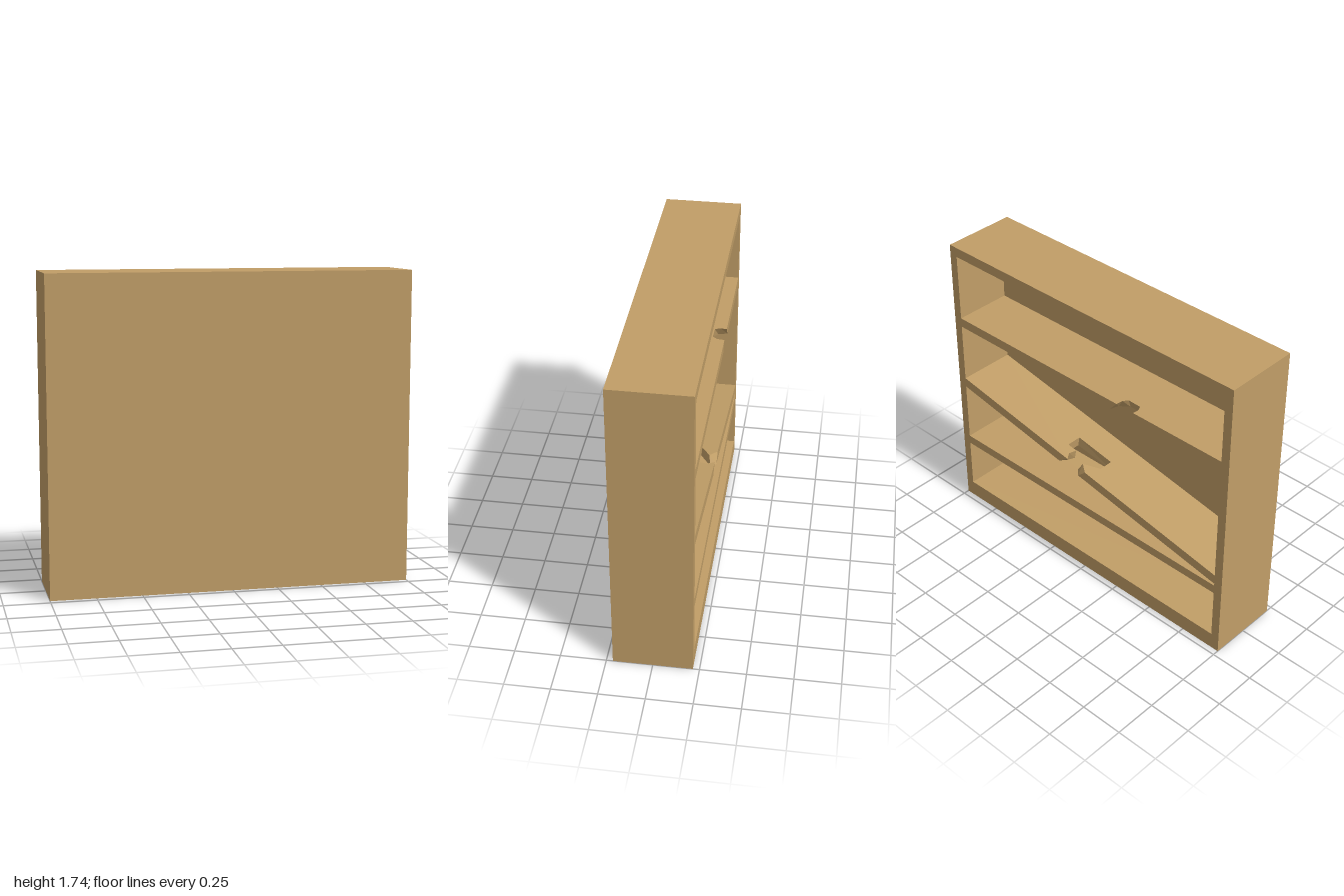
import * as THREE from 'three';

const H = 1.735, ZB = -0.215, ZP = 0.12, ZF = 0.215; // height, open side, panel inner face, panel outer face
const XI = 0.95;                                     // inner half width

const wood = new THREE.MeshStandardMaterial({ color: 0xc19e67, flatShading: true });

export function createModel() {
  const group = new THREE.Group();
  const add = (name, geometry) => {
    const mesh = new THREE.Mesh(geometry, wood);
    mesh.name = name;
    group.add(mesh);
  };

  // Box given by its minimum and maximum corners
  const box = (name, x0, x1, y0, y1, z0, z1) =>
    add(name, new THREE.BoxGeometry(x1 - x0, y1 - y0, z1 - z0)
      .translate((x0 + x1) / 2, (y0 + y1) / 2, (z0 + z1) / 2));

  // Shelf board with an optional broken notch in its open edge.
  // Notch points are [x, depth], running from +x to -x, for the upper and lower faces.
  const shelf = (name, yLeft, yRight, thickness, notchTop = [], notchBottom = notchTop) => {
    const outline = (notch) => [
      [XI, ZP], [XI, ZB], ...notch.map(([x, d]) => [x, ZB + d]), [-XI, ZB], [-XI, ZP],
    ];
    const top = outline(notchTop), bottom = outline(notchBottom);
    const shape = new THREE.Shape(top.map(([x, z]) => new THREE.Vector2(x, -z)));
    const geometry = new THREE.ExtrudeGeometry(shape, { depth: 1, bevelEnabled: false })
      .rotateX(-Math.PI / 2);
    const pos = geometry.attributes.position;
    for (let i = 0; i < pos.count; i++) {
      let x = pos.getX(i), z = pos.getZ(i);
      const upper = pos.getY(i) > 0.5;
      if (!upper) {
        const k = top.findIndex(([a, b]) => Math.hypot(a - x, b - z) < 1e-4);
        [x, z] = bottom[k];
      }
      // Height follows the slope of the board
      const y = THREE.MathUtils.lerp(yRight, yLeft, (x + XI) / (2 * XI));
      pos.setXYZ(i, x, upper ? y : y - thickness, z);
    }
    geometry.computeVertexNormals();
    add(name, geometry);
  };

  // Case
  box('backPanel', -1, 1, 0, H, ZP, ZF);
  box('topBoard', -1, 1, 1.678, H, ZB, ZP);
  box('baseBoard', -1, 1, 0, 0.097, ZB, ZP);
  for (const s of [-1, 1]) {
    const [a, b] = s < 0 ? [-1, -XI] : [XI, 1];
    box(s < 0 ? 'rightSide' : 'leftSide', a, b, 0.097, 1.678, ZB, ZP);
  }

  // Intact lower shelf
  shelf('lowerShelf', 0.452, 0.452, 0.053);

  // Fallen middle shelf with a ragged T-shaped break
  shelf('tiltedShelf', 0.87, 0.524, 0.058,
    [[0.125, 0], [0.15, 0.04], [0.14, 0.085], [0.2, 0.085], [0.2, 0.173],
      [-0.044, 0.173], [-0.044, 0.09], [0.045, 0.04], [-0.01, 0]],
    [[0.19, 0], [0.165, 0.04], [0.15, 0.084], [0.207, 0.084], [0.207, 0.17],
      [-0.045, 0.175], [-0.045, 0.095], [0.075, 0.03], [0.045, 0]]);

  // Upper shelf with a bite that widens downward
  shelf('upperShelf', 1.281, 1.281, 0.055,
    [[-0.245, 0], [-0.25, 0.04], [-0.27, 0.067], [-0.352, 0.065], [-0.365, 0.035], [-0.36, 0]],
    [[-0.2, 0], [-0.215, 0.05], [-0.265, 0.088], [-0.34, 0.088], [-0.39, 0.05], [-0.405, 0]]);

  return group;
}
